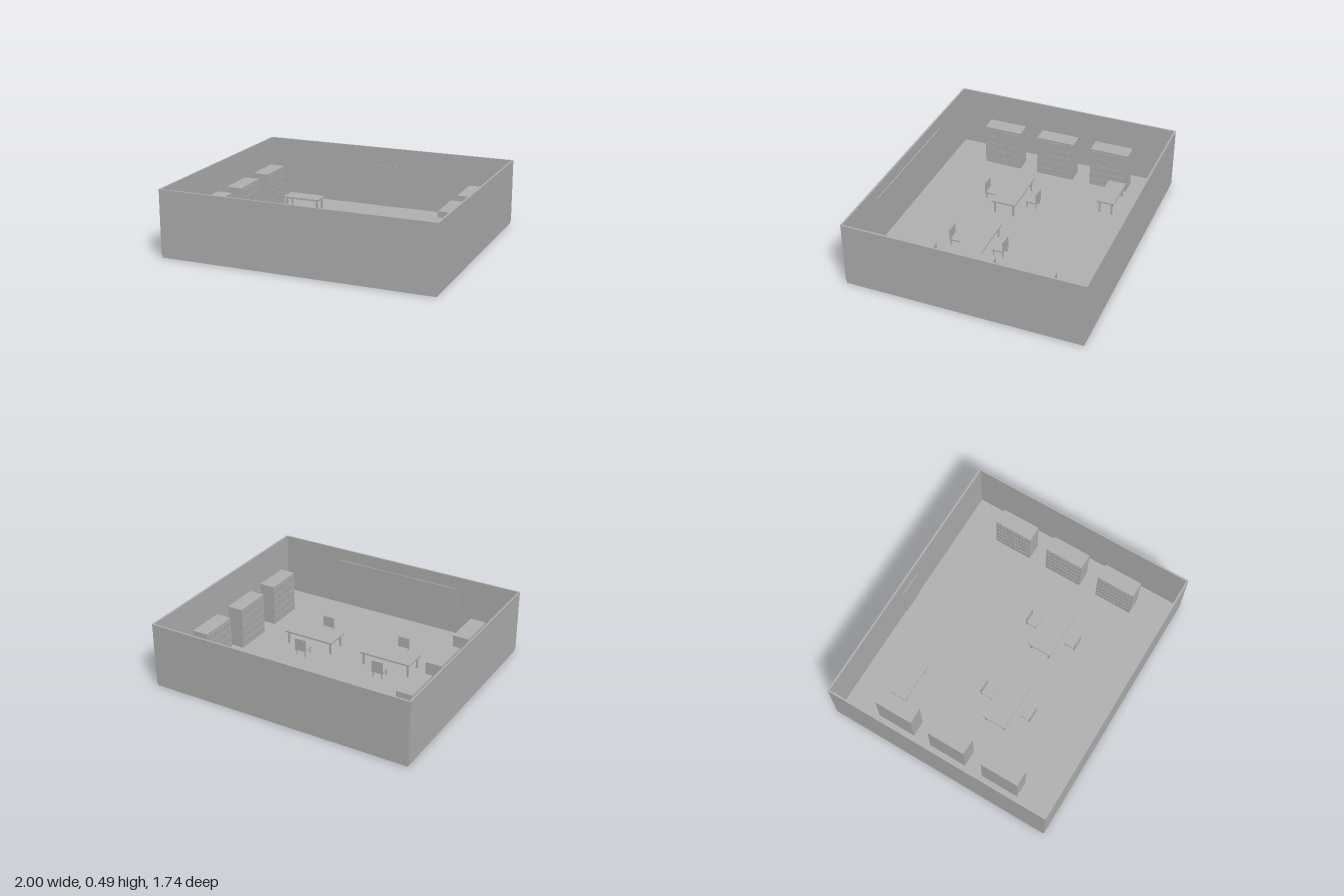
import * as THREE from 'three';

const grey = new THREE.MeshStandardMaterial({ color: 0xb2b2b2 });
grey.name = 'plain grey';

const FLOOR = 0.023; // top of the floor slab
const TOP = 0.488;   // top of the walls

// Box given by its centre in x and z, its underside y, and its size
function box(parent, name, w, h, d, x, y, z) {
  const mesh = new THREE.Mesh(new THREE.BoxGeometry(w, h, d), grey);
  mesh.name = name;
  mesh.position.set(x, y + h / 2, z);
  parent.add(mesh);
  return mesh;
}

function group(parent, name, x, z, turn = 0) {
  const g = new THREE.Group();
  g.name = name;
  g.position.set(x, FLOOR, z);
  g.rotation.y = turn;
  parent.add(g);
  return g;
}

// Four square legs around the group's centre
function addLegs(g, name, size, height, dx, dz) {
  for (const sx of [-1, 1])
    for (const sz of [-1, 1]) box(g, name, size, height, size, sx * dx, 0, sz * dz);
}

function addTable(parent, name, w, d, x, z) {
  const g = group(parent, name, x, z);
  box(g, 'tableTop', w, 0.013, d, 0, 0.093, 0);
  addLegs(g, 'tableLeg', 0.0133, 0.093, w / 2 - 0.02, d / 2 - 0.02);
}

// Chair with its backrest on the -z side before turning
function addChair(parent, x, z, turn) {
  const g = group(parent, 'chair', x, z, turn);
  box(g, 'chairSeat', 0.088, 0.011, 0.088, 0, 0.043, 0);
  box(g, 'chairBackrest', 0.088, 0.082, 0.009, 0, 0.054, -0.0395);
  addLegs(g, 'chairLeg', 0.0075, 0.043, 0.035, 0.035);
}

// Bookcase with rows of book spines standing out of its +x face
function addBookcase(parent, x, z, turn) {
  const g = group(parent, 'bookcase', x, z, turn);
  const depth = 0.119, height = 0.315, rows = 5, columns = 10;
  box(g, 'bookcaseBody', depth, height, 0.291, 0, 0, 0);
  for (let r = 0; r < rows; r++)
    for (let c = 0; c < columns; c++)
      box(g, 'book', 0.008, 0.044, 0.019, depth / 2, 0.014 + r * 0.06, (c - (columns - 1) / 2) * 0.0272);
}

export function createModel() {
  const model = new THREE.Group();
  model.name = 'libraryRoom';

  // Floor and walls, with a small notch left at each corner
  box(model, 'floor', 1.987, FLOOR, 1.722, 0, 0, 0);
  const wallHeight = TOP - FLOOR;
  for (const s of [-1, 1]) {
    box(model, s > 0 ? 'frontWall' : 'backWall', 1.987, wallHeight, 0.0133, 0, FLOOR, s * 0.861);
    box(model, s > 0 ? 'leftWall' : 'rightWall', 0.0133, wallHeight, 1.722, s * 0.9933, FLOOR, 0);
  }

  // Door on the back wall, board on the front wall
  box(model, 'door', 0.182, 0.322, 0.008, 0, FLOOR, -0.8525);
  box(model, 'wallBoard', 1.033, 0.197, 0.008, 0, 0.198, 0.8515);

  // Three bookcases along each side wall, facing inwards
  for (const s of [-1, 1])
    for (const z of [-0.43, 0, 0.43]) addBookcase(model, s * 0.81, z - 0.003, s > 0 ? Math.PI : 0);

  // Reading tables with two chairs each, and the desk
  for (const x of [-0.319, 0.319]) {
    addTable(model, 'readingTable', 0.397, 0.186, x, 0.166);
    addChair(model, x, 0.005, 0);
    addChair(model, x, 0.333, Math.PI);
  }
  addTable(model, 'desk', 0.291, 0.133, -0.556, -0.524);

  return model;
}
